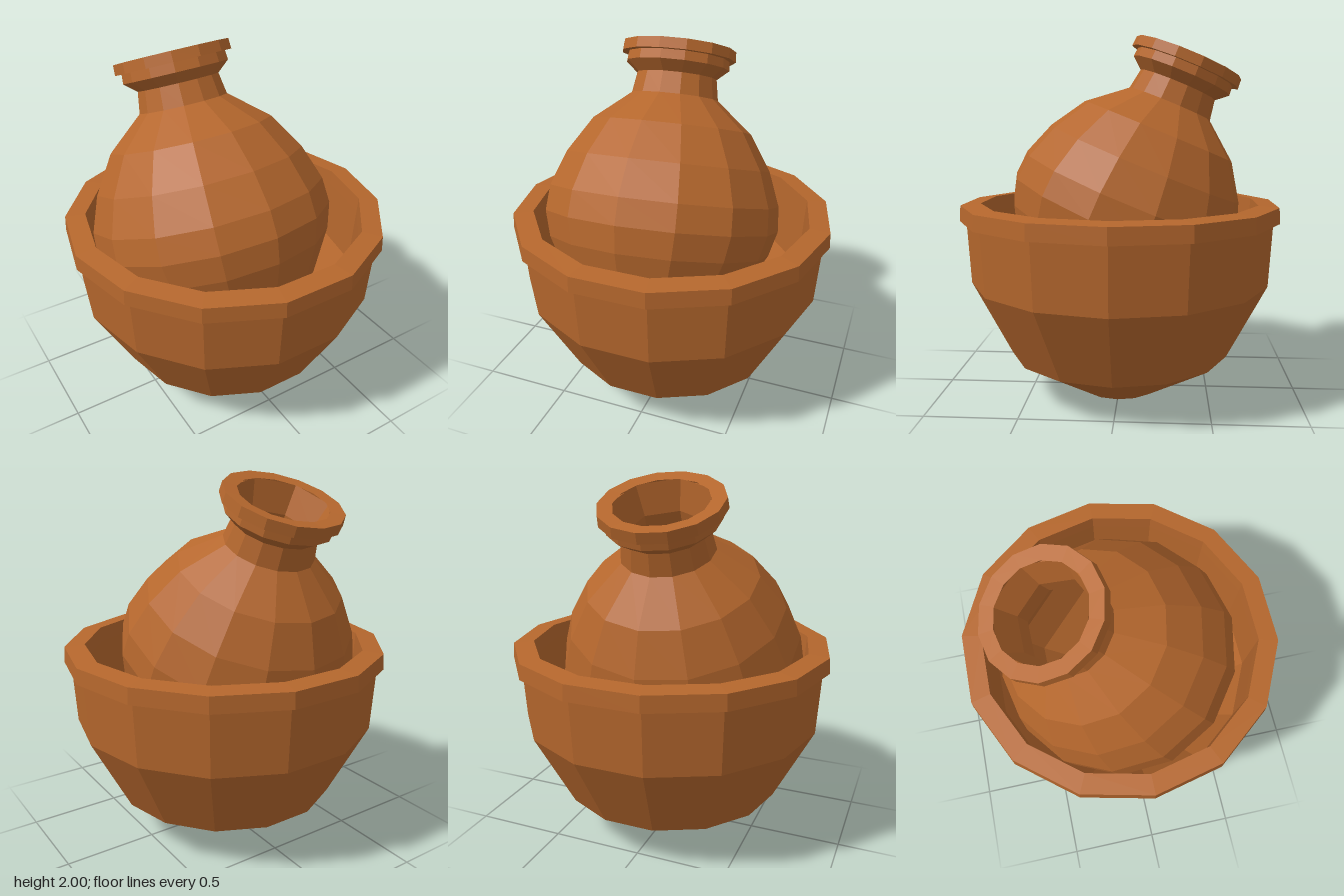
import * as THREE from 'three';

const clay = new THREE.MeshStandardMaterial({ color: 0xb5672d, flatShading: true, side: THREE.DoubleSide });

// Low-poly turned part from [radius, height] pairs
function turned(name, profile, sides, phase = 0) {
  const points = profile.map(([r, y]) => new THREE.Vector2(r, y));
  const mesh = new THREE.Mesh(new THREE.LatheGeometry(points, sides, phase), clay);
  mesh.name = name;
  return mesh;
}

export function createModel() {
  const model = new THREE.Group();
  model.name = 'jugInBowl';

  // Wide bowl: underside, wall, overhanging rim, then the inside
  model.add(turned('bowl', [
    [0, 0], [0.22, 0], [0.615, 0.23], [0.83, 0.645], [0.85, 0.99],
    [0.885, 0.99], [0.88, 1.075], [0.77, 1.085],
    [0.765, 1.0], [0.75, 0.66], [0.53, 0.28], [0.17, 0.07], [0, 0.07],
  ], 14, Math.PI / 2));

  // Round jug resting in the bowl, leaning back and slightly sideways
  const jug = new THREE.Group();
  jug.name = 'jug';
  jug.add(turned('jugBody', [
    [0, -0.52], [0.27, -0.48], [0.5, -0.28], [0.625, -0.04], [0.662, 0.1],
    [0.65, 0.24], [0.577, 0.43], [0.45, 0.625], [0.245, 0.79],
  ], 14));
  jug.add(turned('jugNeck', [
    [0.245, 0.79], [0.225, 0.905], [0.29, 0.96], [0.285, 1.01],
    [0.32, 1.01], [0.316, 1.066], [0.24, 1.06],
  ], 14));

  // Coarser inside of the jug
  jug.add(turned('jugInside', [
    [0.26, 1.055], [0.21, 0.9], [0.215, 0.79], [0.4, 0.62], [0.53, 0.42],
    [0.61, 0.2], [0.57, -0.04], [0.44, -0.28], [0.22, -0.44], [0, -0.46],
  ], 7));
  jug.position.set(-0.068, 0.893, 0.025);
  jug.rotation.set(-0.39, 0, 0.03);
  model.add(jug);

  return model;
}
